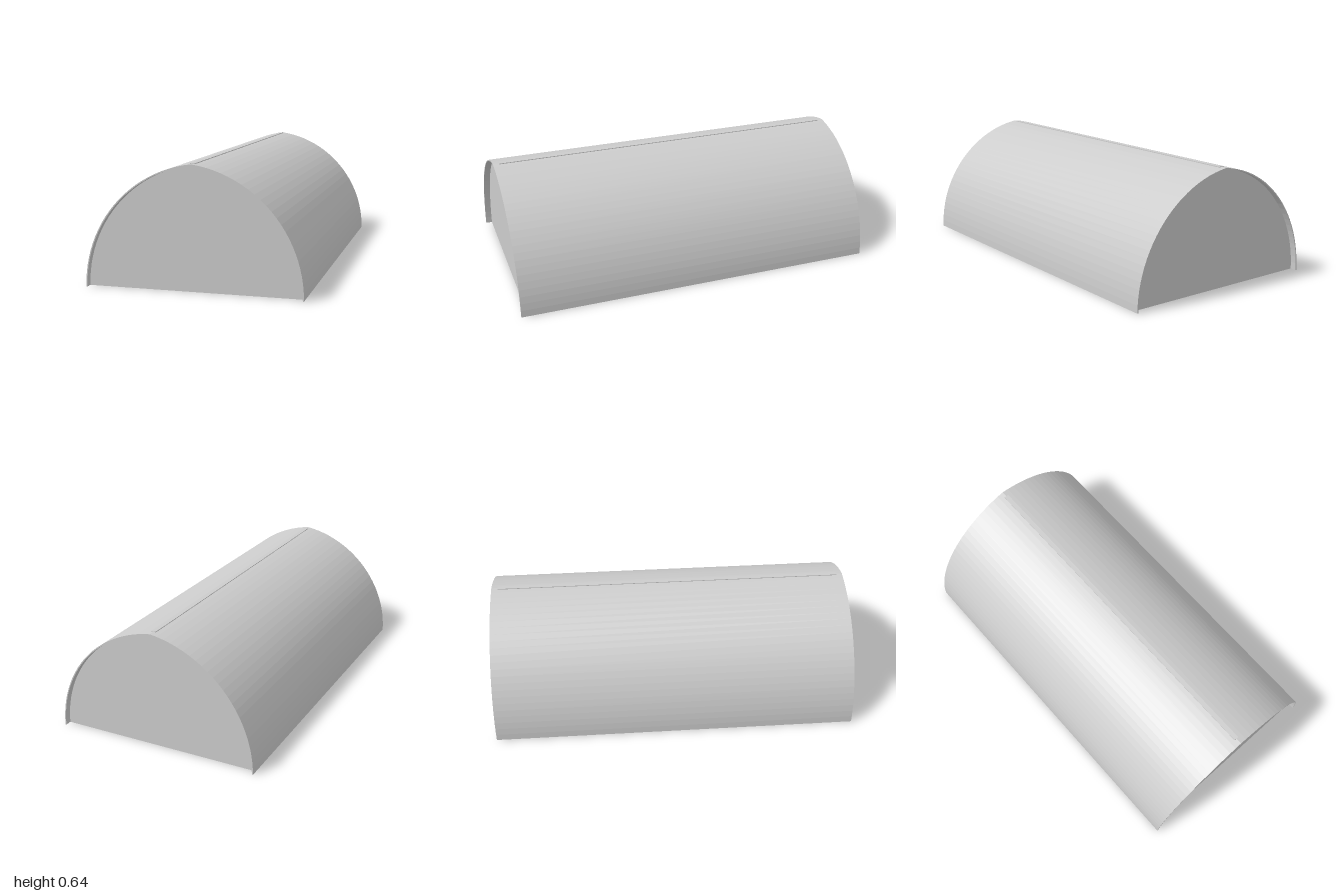
import * as THREE from 'three';

// Pointed arch: each half is a circular arc centred just past the middle line
const HALF_W = 0.56, APEX = 0.638, SEG = 24;
const CX = (APEX * APEX - HALF_W * HALF_W) / (2 * HALF_W);
const R = HALF_W + CX;

// Points from the +x foot over the apex to the -x foot, offset inward
function archPoints(inset = 0) {
  const r = R - inset, top = Math.acos(CX / r), right = [];
  for (let i = 0; i <= SEG; i++) {
    const a = (top * i) / SEG;
    right.push(new THREE.Vector2(r * Math.cos(a) - CX, r * Math.sin(a)));
  }
  const left = right.slice(0, -1).reverse().map(p => new THREE.Vector2(-p.x, p.y));
  return right.concat(left);
}

// Extrude an arch outline, or a band between two arches, centred on z
function extrudeArch(points, depth, z) {
  const geo = new THREE.ExtrudeGeometry(new THREE.Shape(points), { depth, bevelEnabled: false });
  return geo.translate(0, 0, z - depth / 2);
}
const archBand = (outer, inner, depth, z) =>
  extrudeArch(archPoints(outer).concat(archPoints(inner).reverse()), depth, z);

export function createModel() {
  const group = new THREE.Group();
  const grey = new THREE.MeshStandardMaterial({ color: 0xcccccc, flatShading: true });
  grey.name = 'grey metal';

  const add = (name, geometry) => {
    const mesh = new THREE.Mesh(geometry, grey);
    mesh.name = name;
    group.add(mesh);
  };

  // Curved roof, open underneath
  add('roofShell', archBand(0, 0.006, 2, 0));

  // End walls set back under the overhang
  add('frontWall', extrudeArch(archPoints(0.005), 0.01, 0.96));
  add('backWall', extrudeArch(archPoints(0.005), 0.01, -0.96));

  // Ridge beam showing just through the roof
  add('ridgeBeam', new THREE.BoxGeometry(0.026, 0.03, 1.93).translate(0, 0.625, 0));

  // Inner arched ribs
  for (let i = 0; i < 9; i++) {
    add('rib' + (i + 1), archBand(0.004, 0.026, 0.03, 0.575 - i * 0.164));
  }
  return group;
}
